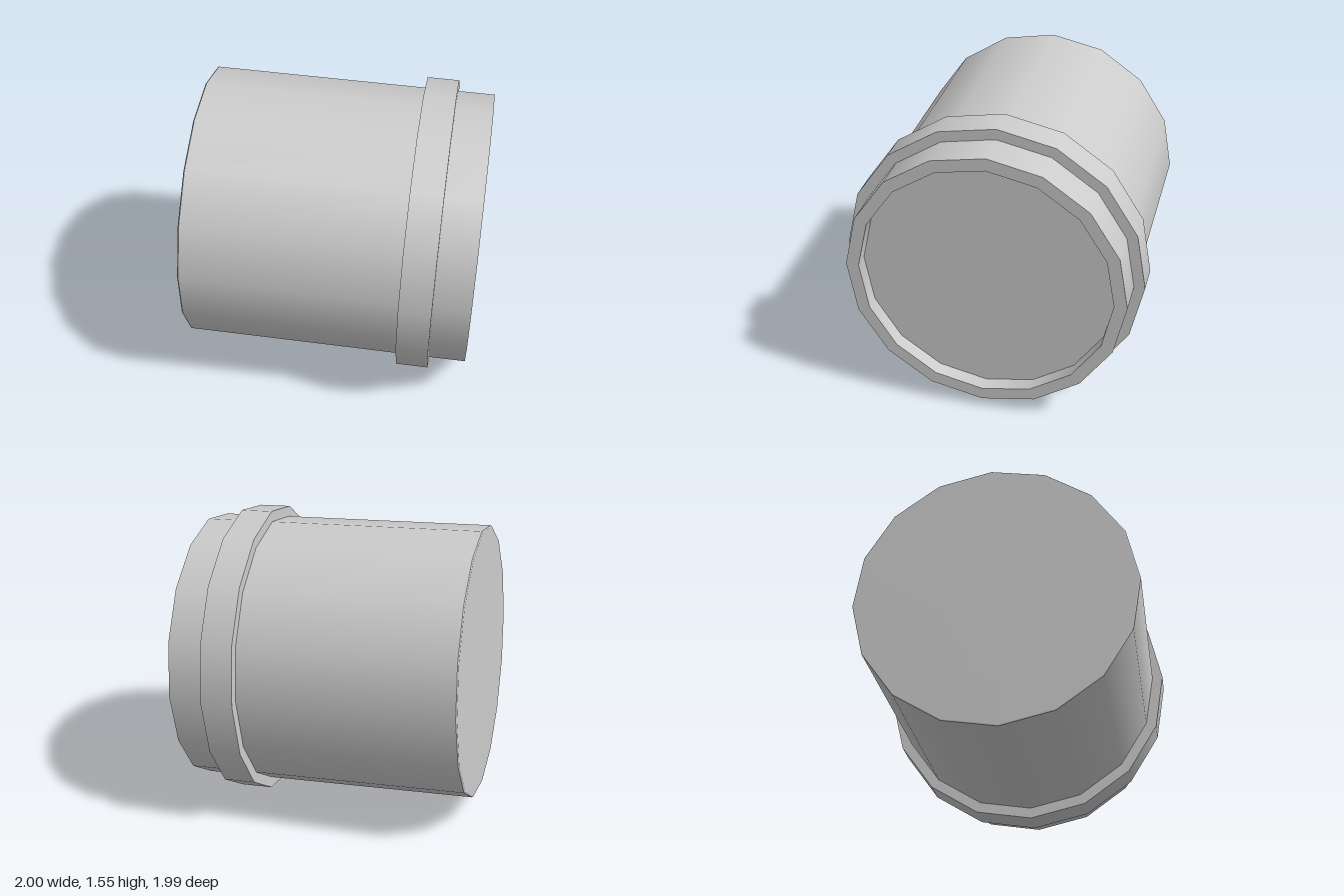
import * as THREE from 'three';
import { mergeGeometries } from 'three/addons/utils/BufferGeometryUtils.js';

const SIDES = 16;
const BACK = -0.737, FRONT = 0.737;
const R = 0.716, BAND_R = 0.772, INNER_R = 0.65, FLOOR = 0.657;

// Turn a [radius, distance along axis] profile about the z axis.
// Each segment has its own normals, so the profile corners stay sharp.
function turned(name, profile, material, smooth = false) {
  const points = profile.map(([r, z]) => new THREE.Vector2(r, z));
  const runs = smooth ? [points] : points.slice(1).map((p, i) => [points[i], p]);
  const geometry = mergeGeometries(runs.map(run => new THREE.LatheGeometry(run, SIDES)));
  geometry.rotateX(Math.PI / 2);
  const mesh = new THREE.Mesh(geometry, material);
  mesh.name = name;
  return mesh;
}

export function createModel() {
  const material = new THREE.MeshStandardMaterial({ color: 0xcccccc });
  const can = new THREE.Group();
  can.name = 'can';

  // Closed back end with softly shaded edge
  can.add(turned('backCap', [[0, BACK], [R - 0.006, BACK], [R, BACK + 0.006]], material, true));

  // Long straight wall
  can.add(turned('bodyWall', [[R, BACK + 0.006], [R, 0.38]], material));

  // Raised band around the front
  can.add(turned('raisedBand', [[R, 0.38], [BAND_R, 0.38], [BAND_R, 0.545], [R, 0.545]], material));

  // Front collar: outer wall, rim and short inner wall
  can.add(turned('frontCollar', [[R, 0.545], [R, FRONT], [INNER_R, FRONT], [INNER_R, FLOOR]], material));

  // Flat floor of the shallow recess
  can.add(turned('recessFloor', [[INNER_R, FLOOR], [0, FLOOR]], material));

  // Lying on its side, turned and slightly tipped
  const deg = THREE.MathUtils.degToRad;
  can.rotation.set(deg(1.75), deg(58.6), deg(-2), 'YXZ');
  can.position.y = 0.789;

  const model = new THREE.Group();
  model.name = 'model';
  model.add(can);
  return model;
}
